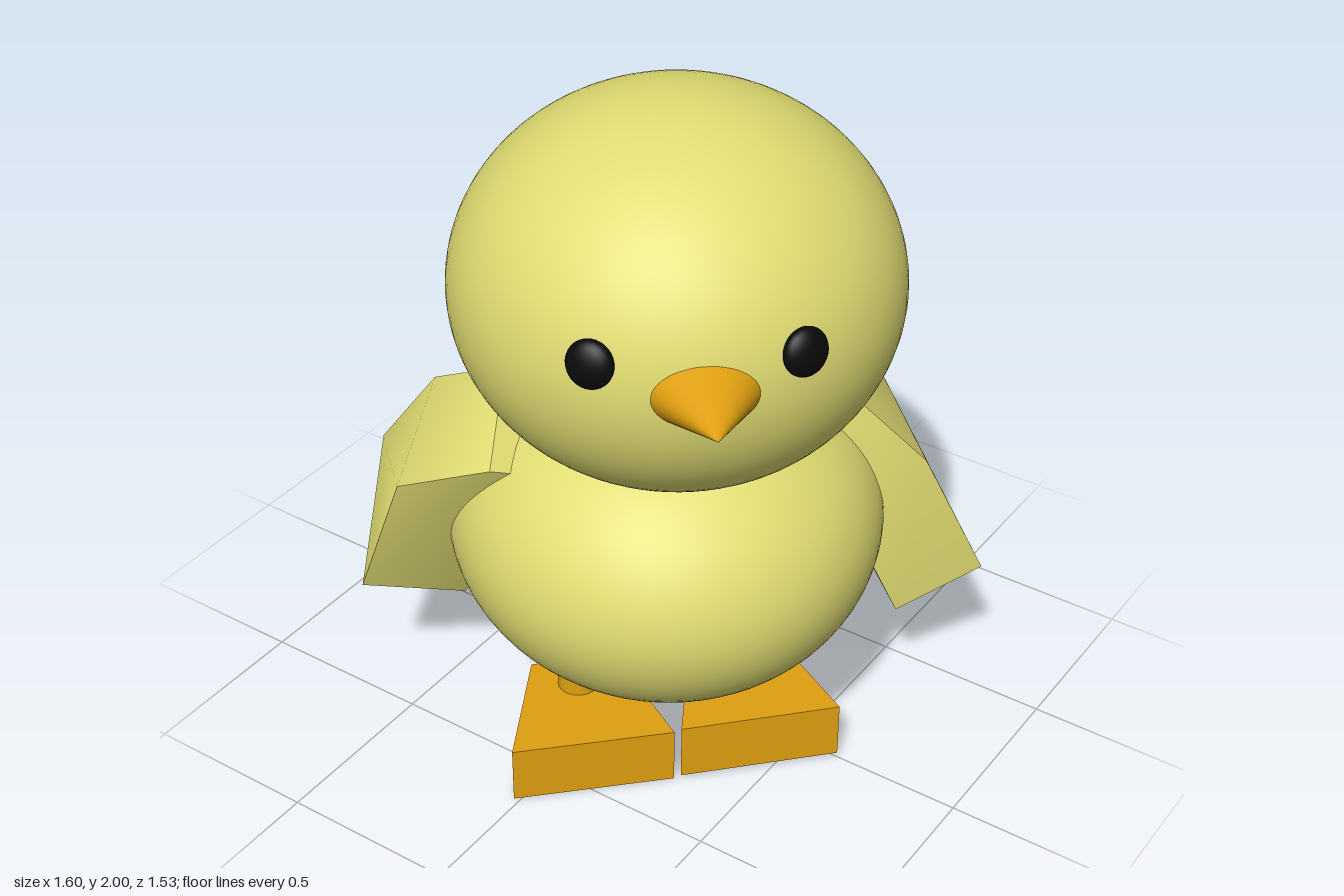
import * as THREE from 'three';
import { toCreasedNormals } from 'three/addons/utils/BufferGeometryUtils.js';
import { ConvexGeometry } from 'three/addons/geometries/ConvexGeometry.js';

const YAW = 0.71; // the chick looks towards +x +z
const mat = (color) => new THREE.MeshStandardMaterial({ color });
const yellow = mat(0xe0dc72), orange = mat(0xe0a010), black = mat(0x0a0a0a);

function add(group, name, geometry, material, position = [0, 0, 0], yaw = 0) {
  const mesh = new THREE.Mesh(geometry, material);
  mesh.name = name;
  mesh.position.set(...position);
  mesh.rotation.y = yaw;
  group.add(mesh);
  return mesh;
}

const ellipsoid = (x, y, z, n = 72) => new THREE.SphereGeometry(1, n, n * 0.7 | 0).scale(x, y, z);

// Slab with three outer edges (bottom, elbow, shoulder); each is [back, front, offset to the inner side]
function wingGeometry(sections) {
  const points = [];
  for (const [back, front, inward] of sections) {
    for (const p of [back, front]) {
      const outer = new THREE.Vector3(...p);
      points.push(outer, outer.clone().add(new THREE.Vector3(...inward)));
    }
  }
  return toCreasedNormals(new ConvexGeometry(points), 0.85);
}

// Wedge foot, narrow at the heel and wide at the toes
function footGeometry() {
  const geometry = new THREE.BoxGeometry(1, 0.168, 0.36).translate(0, 0.084, 0.08);
  const p = geometry.attributes.position;
  for (let i = 0; i < p.count; i++) p.setX(i, p.getX(i) * (p.getZ(i) > 0 ? 0.45 : 0.24));
  return toCreasedNormals(geometry, 0.5);
}

export function createModel() {
  const chick = new THREE.Group();
  chick.name = 'chick';

  add(chick, 'body', ellipsoid(0.6, 0.465, 0.66), yellow, [0.065, 0.68, 0.033], YAW);

  // Head with eyes and beak
  const head = [0.182, 1.49, 0.157];
  add(chick, 'head', ellipsoid(0.584, 0.51, 0.587), yellow, head, YAW);
  for (const [name, pos] of [['rightEye', [0.32, 1.587, 0.725]], ['leftEye', [0.708, 1.59, 0.4]]]) {
    const eye = add(chick, name, ellipsoid(0.061, 0.063, 0.032, 32), black, pos);
    const out = new THREE.Vector3(...pos).sub(new THREE.Vector3(...head));
    eye.lookAt(out.multiplyScalar(4).add(eye.position));
  }
  const beak = new THREE.ConeGeometry(1, 0.3, 48).rotateX(Math.PI / 2)
    .scale(0.172, 0.115, 1).translate(0, 0, 0.65);
  const beakMesh = add(chick, 'beak', beak, orange, [0.182, 1.455, 0.157], YAW);
  beakMesh.rotation.set(-0.1, YAW, 0, 'YXZ');

  // Legs and feet
  for (const [side, x, y, z, yaw] of [['right', -0.042, 0, 0.308, 0.785], ['left', 0.285, 0.013, -0.018, 0.81]]) {
    add(chick, side + 'Leg', new THREE.CylinderGeometry(0.058, 0.058, 0.32, 32), orange, [x, 0.3, z]);
    add(chick, side + 'Foot', footGeometry(), orange, [x, y, z], yaw);
  }

  // Wings, each held at its own angle
  add(chick, 'leftWing', wingGeometry([
    [[0.45, 0.51, -0.77], [0.8, 0.45, -0.47], [-0.17, -0.115, 0.175]],
    [[0.37, 0.925, -0.575], [0.685, 0.86, -0.31], [-0.17, -0.1, 0.17]],
    [[0.33, 1.11, -0.34], [0.5, 1.07, -0.2], [-0.12, -0.07, 0.1]],
  ]), yellow);
  add(chick, 'rightWing', wingGeometry([
    [[-0.8, 0.66, 0.205], [-0.6, 0.43, 0.56], [0.18, -0.09, -0.23]],
    [[-0.53, 1.0, 0.28], [-0.4, 0.88, 0.612], [0.16, -0.09, -0.2]],
    [[-0.27, 1.14, 0.3], [-0.15, 0.98, 0.53], [0.1, -0.06, -0.14]],
  ]), yellow);

  return chick;
}
